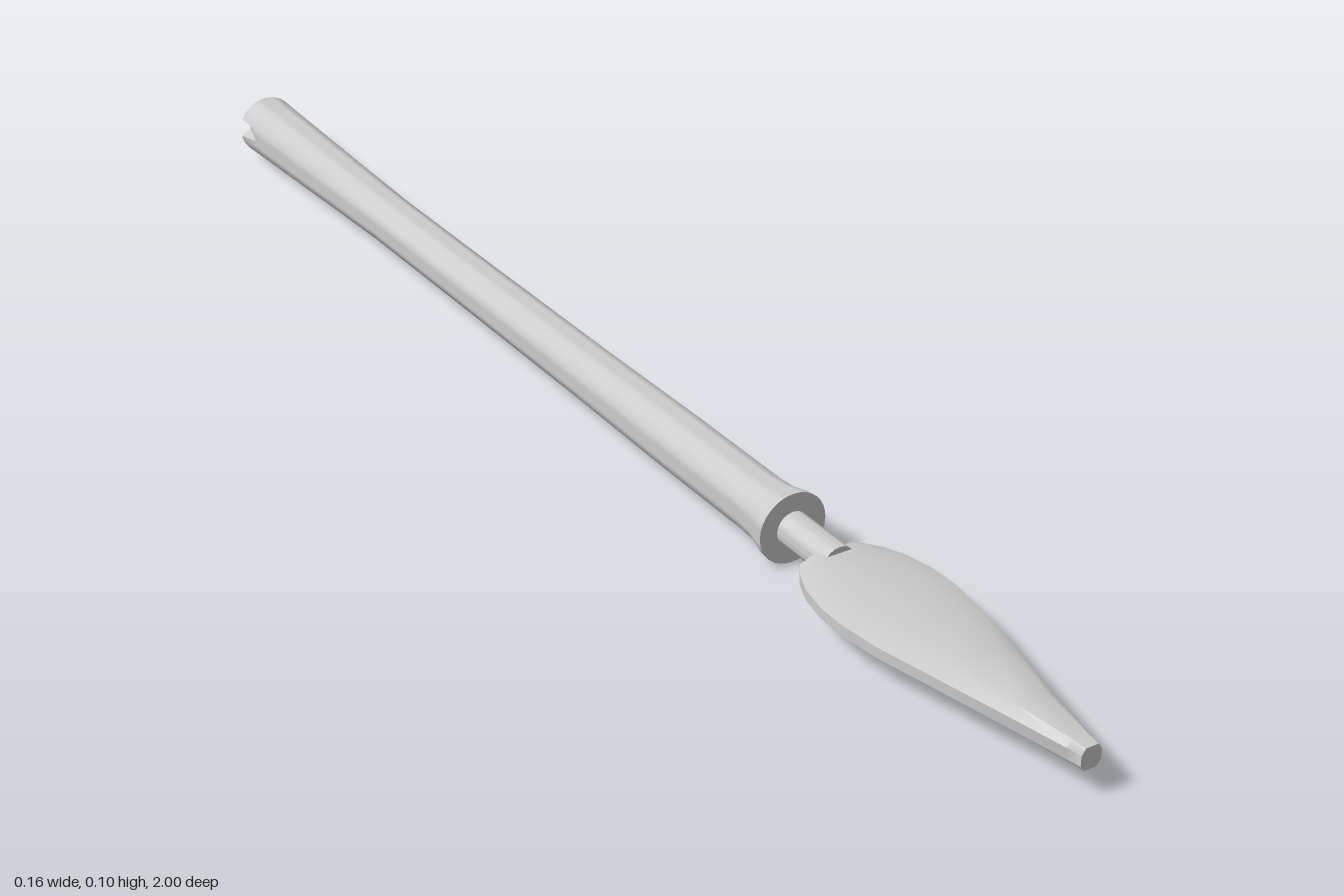
import * as THREE from 'three';
import { toCreasedNormals } from 'three/addons/utils/BufferGeometryUtils.js';

const AXIS_Y = 0.049;

// Surface of revolution along z from [radius, z] pairs
function turned(points, sides) {
  const geo = new THREE.LatheGeometry(points.map(([r, z]) => new THREE.Vector2(r, z)), sides);
  return geo.rotateX(Math.PI / 2);
}

// Skin over bevelled octagonal sections, from [z, halfWidth, halfThickness]
function bladeGeometry(sections) {
  const pos = [], index = [], n = 8;
  for (const [z, w, t] of sections) {
    const s = w * 0.6, e = t * 0.45;
    for (const [x, y] of [[w, -e], [w, e], [s, t], [-s, t], [-w, e], [-w, -e], [-s, -t], [s, -t]]) pos.push(x, y, z);
  }
  const last = (sections.length - 1) * n;
  for (let i = 0; i < last; i += n) {
    for (let j = 0; j < n; j++) {
      const k = (j + 1) % n;
      index.push(i + j, i + k, i + n + k, i + j, i + n + k, i + n + j);
    }
  }
  // End caps
  for (let j = 1; j < n - 1; j++) index.push(0, j + 1, j, last, last + j, last + j + 1);
  const geo = new THREE.BufferGeometry();
  geo.setAttribute('position', new THREE.Float32BufferAttribute(pos, 3));
  geo.setIndex(index);
  return geo;
}

export function createModel() {
  const group = new THREE.Group();
  const material = new THREE.MeshStandardMaterial({ color: 0xcccccc });
  const add = (name, geo, crease) => {
    const mesh = new THREE.Mesh(toCreasedNormals(geo, crease), material);
    mesh.name = name;
    mesh.position.y = AXIS_Y;
    group.add(mesh);
  };

  // Long handle, flared at both ends
  const handle = turned([
    [0, -1], [0.046, -1], [0.0445, -0.95], [0.043, -0.88], [0.039, -0.72], [0.036, -0.58], [0.036, -0.3],
    [0.037, 0], [0.039, 0.2], [0.039, 0.38], [0.041, 0.415], [0.047, 0.44], [0.048, 0.45], [0, 0.45],
  ], 32);

  // Small nick in the side of the butt end
  const p = handle.attributes.position;
  for (let i = 0; i < p.count; i++) {
    const x = p.getX(i), y = p.getY(i), z = p.getZ(i);
    if (z < -0.97 && x < -0.03 && Math.abs(y - 0.005) < 0.008) p.setX(i, x + 0.016);
  }
  add('handle', handle, 0.6);

  // Thin neck joining handle and blade
  add('neck', turned([[0, 0.44], [0.023, 0.44], [0.023, 0.545], [0, 0.545]], 20), 0.6);

  // Flat leaf-shaped blade with bevelled edges and a blunt tip
  add('blade', bladeGeometry([
    [0.53, 0.046, 0.013], [0.55, 0.06, 0.015], [0.58, 0.073, 0.0155], [0.62, 0.081, 0.0155],
    [0.66, 0.082, 0.0155], [0.72, 0.075, 0.0155], [0.8, 0.057, 0.0155], [0.9, 0.035, 0.0155],
    [0.98, 0.018, 0.0155], [1, 0.014, 0.0145],
  ]), 0.7);

  return group;
}
